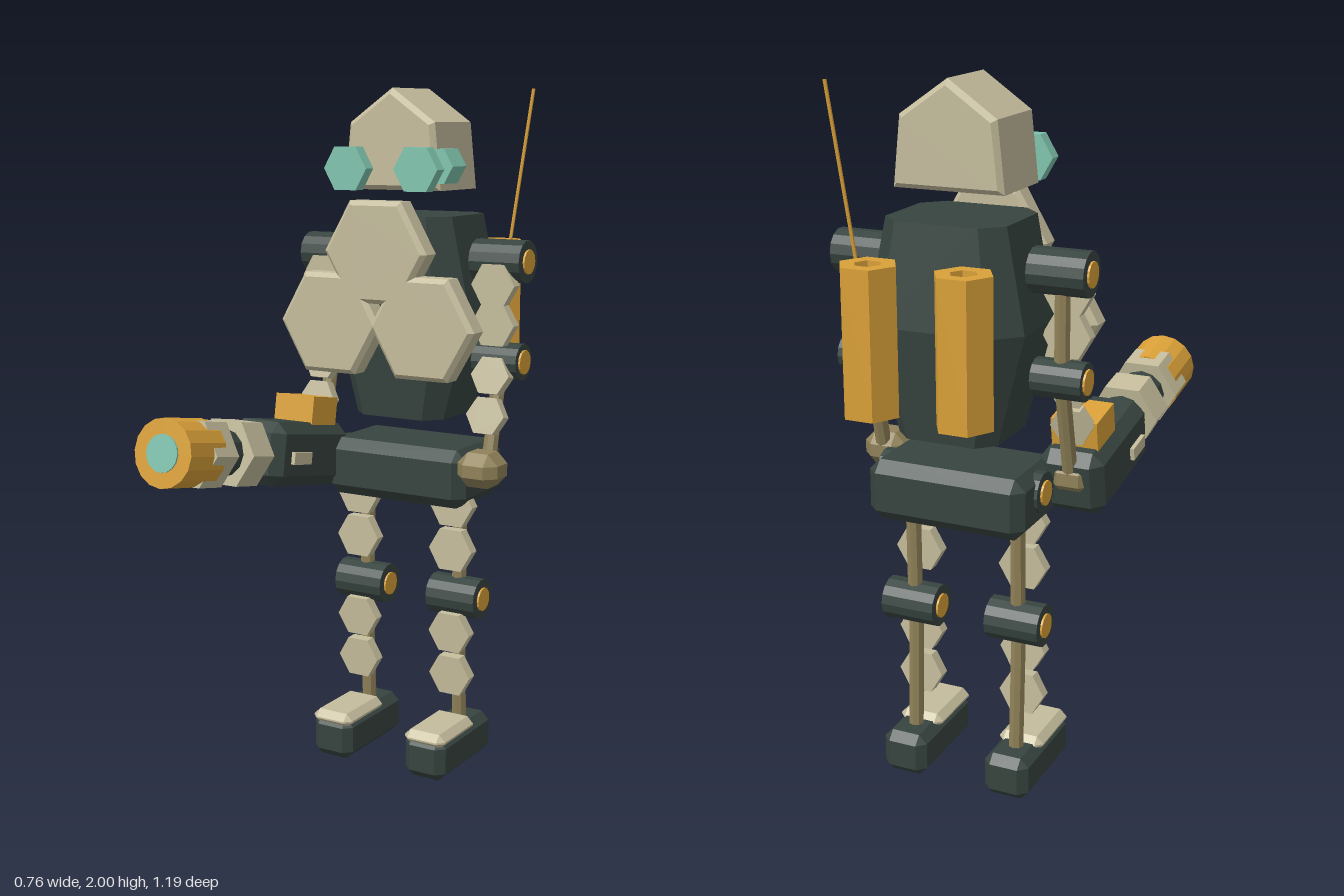
import * as THREE from 'three';
import { ConvexGeometry } from 'three/addons/geometries/ConvexGeometry.js';

const mat = (name, color) => {
  const m = new THREE.MeshStandardMaterial({ color, flatShading: true });
  m.name = name;
  return m;
};

export function createModel() {
  const dark = mat('dark green metal', 0x37443f);
  const cream = mat('cream armour', 0xc4bc9c);
  const gold = mat('gold', 0xd9a038);
  const teal = mat('teal glass', 0x80c4ae);
  const olive = mat('olive rod', 0x8f8158);

  const model = new THREE.Group();
  model.name = 'robot';
  const body = new THREE.Group();
  body.name = 'body';
  body.position.x = 0.008;
  model.add(body);

  const add = (parent, name, geo, material, x = 0, y = 0, z = 0) => {
    const m = new THREE.Mesh(geo, material);
    m.name = name;
    m.position.set(x, y, z);
    parent.add(m);
    return m;
  };

  // Box with every edge and corner chamfered by c
  const chamferBox = (w, h, d, c) => {
    const pts = [], a = w / 2, b = h / 2, e = d / 2;
    for (const x of [-1, 1]) for (const y of [-1, 1]) for (const z of [-1, 1]) {
      pts.push(
        new THREE.Vector3(x * a, y * (b - c), z * (e - c)),
        new THREE.Vector3(x * (a - c), y * b, z * (e - c)),
        new THREE.Vector3(x * (a - c), y * (b - c), z * e));
    }
    return new ConvexGeometry(pts);
  };

  // Hexagon outline with corners on the x axis
  const hexPoints = (r) => Array.from({ length: 6 }, (_, i) =>
    new THREE.Vector2(r * Math.cos(i * Math.PI / 3), r * Math.sin(i * Math.PI / 3)));

  // Prism along z, centred, with an optional bevel inside its outline
  const prism = (points, depth, bevel = 0, hole = 0) => {
    const shape = new THREE.Shape(points);
    if (hole) shape.holes.push(new THREE.Path(hexPoints(hole).reverse()));
    const geo = new THREE.ExtrudeGeometry(shape, {
      depth: depth - 2 * bevel, bevelEnabled: bevel > 0, bevelSize: bevel,
      bevelThickness: bevel, bevelOffset: -bevel, bevelSegments: 1,
    });
    return geo.translate(0, 0, bevel - depth / 2);
  };
  const hexPlate = (r, depth, bevel) => prism(hexPoints(r), depth, bevel);

  // Joint drum lying along x with gold end caps
  const joint = (name, x, y, z, r, length) => {
    const g = new THREE.Group();
    g.name = name;
    g.position.set(x, y, z);
    g.rotation.z = Math.PI / 2;
    add(g, 'drum', new THREE.CylinderGeometry(r, r, length, 14), dark);
    add(g, 'caps', new THREE.CylinderGeometry(0.035, 0.035, length + 0.012, 14), gold);
    body.add(g);
  };

  // Rod from (y0, z0) to (y1, z1) with armour plates hung along its front
  const limb = (name, x, [y0, z0], [y1, z1], plateR, plates) => {
    const g = new THREE.Group();
    const len = Math.hypot(y1 - y0, z1 - z0);
    g.name = name;
    g.position.set(x, y0, z0);
    g.rotation.x = Math.atan2(z0 - z1, y0 - y1);
    add(g, 'rod', new THREE.CylinderGeometry(0.022, 0.022, len, 8), olive, 0, -len / 2, 0);
    for (const p of plates) add(g, 'plate', hexPlate(plateR, 0.034), cream, 0, -p, 0.045);
    body.add(g);
  };

  // Faceted torso, widest just below the middle
  const torso = [];
  for (const [y, w, back, front] of [
    [1.06, 0.145, -0.405, -0.13], [1.37, 0.228, -0.447, -0.1], [1.645, 0.172, -0.415, -0.11]]) {
    const c = w * 0.32;
    for (const s of [-1, 1]) torso.push(
      new THREE.Vector3(s * (w - c), y, back), new THREE.Vector3(s * w, y, back + c),
      new THREE.Vector3(s * w, y, front - c), new THREE.Vector3(s * (w - c), y, front));
  }
  add(body, 'torso', new ConvexGeometry(torso), dark);

  // Chest plate of three hexagons
  for (const [x, y] of [[0, 1.546], [-0.151, 1.339], [0.151, 1.339]]) {
    add(body, 'chestPlate', hexPlate(0.166, 0.078, 0.013), cream, x, y, -0.059);
  }

  // Head with pitched top
  const headOutline = [[-0.157, 1.717], [0.157, 1.717], [0.137, 1.905], [0, 2], [-0.137, 1.905]]
    .map(([x, y]) => new THREE.Vector2(x, y));
  add(body, 'head', prism(headOutline, 0.24, 0.014), cream, 0, 0, -0.232);

  // Eyes and side lens
  for (const s of [-1, 1]) add(body, 'eye', hexPlate(0.07, 0.04), teal, s * 0.114, 1.777, -0.076);
  add(body, 'sideLens', hexPlate(0.055, 0.08), teal, 0.15, 1.785, -0.146);

  // Hips
  add(body, 'hips', chamferBox(0.464, 0.172, 0.28, 0.032), dark, 0, 0.892, -0.265);

  for (const s of [-1, 1]) {
    // Back tubes
    const tube = add(body, 'backTube', prism(hexPoints(0.08), 0.395, 0, 0.037), gold, s * 0.133, 1.36, -0.53);
    tube.rotation.x = Math.PI / 2;

    // Arms
    const ax = s * 0.285;
    joint('shoulder', ax, 1.52, -0.263, 0.061, 0.158);
    joint('elbow', ax, 1.234, -0.263, 0.053, 0.142);
    limb('upperArm', ax, [1.52, -0.263], [1.234, -0.263], 0.068, [0.065, 0.178]);
    limb('forearm', ax, [1.234, -0.263], [0.95, -0.195], 0.06, [0.05, 0.165]);
    add(body, 'hand', chamferBox(0.128, 0.1, 0.125, 0.032), olive, ax, 0.935, -0.155);

    // Legs
    const lx = s * 0.16;
    joint('hipJoint', lx, 0.91, -0.263, 0.058, 0.162);
    joint('knee', lx, 0.513, -0.255, 0.061, 0.16);
    limb('thigh', lx, [0.91, -0.263], [0.513, -0.258], 0.071, [0.11, 0.245]);
    limb('shin', lx, [0.513, -0.252], [0.1, -0.27], 0.068, [0.1, 0.235]);
    add(body, 'foot', chamferBox(0.135, 0.128, 0.325, 0.025), dark, lx, 0.064, -0.198);
    add(body, 'toePlate', chamferBox(0.136, 0.045, 0.216, 0.02), cream, lx, 0.123, -0.143);
  }

  // Antenna
  const a = new THREE.Vector3(0.207, 1.46, -0.436), b = new THREE.Vector3(0.266, 2, -0.483);
  add(body, 'antenna', new THREE.TubeGeometry(new THREE.LineCurve3(a, b), 1, 0.005, 6), gold);

  // Arm cannon, tilted up towards the muzzle
  const cannon = new THREE.Group();
  cannon.name = 'cannon';
  cannon.position.set(-0.285, 0.95, 0);
  cannon.rotation.x = -0.171;
  body.add(cannon);
  const along = (name, r, z0, z1, sides, material) => add(cannon, name,
    new THREE.CylinderGeometry(r, r, z1 - z0, sides).rotateX(Math.PI / 2), material, 0, 0, (z0 + z1) / 2);
  add(cannon, 'cannonBody', chamferBox(0.186, 0.186, 0.385, 0.032), dark, 0, 0, -0.015);
  add(cannon, 'sight', new THREE.BoxGeometry(0.134, 0.09, 0.13), gold, 0, 0.125, -0.085);
  add(cannon, 'sidePlates', new THREE.BoxGeometry(0.21, 0.036, 0.09), cream, 0, -0.008, 0.066);
  along('barrel', 0.068, 0.15, 0.5, 12, dark);
  for (const z of [0.265, 0.435]) add(cannon, 'barrelRing', hexPlate(0.104, 0.1), cream, 0, 0, z);
  along('muzzle', 0.095, 0.43, 0.587, 16, gold);
  along('muzzleLens', 0.052, 0.58, 0.592, 16, teal);

  return model;
}
